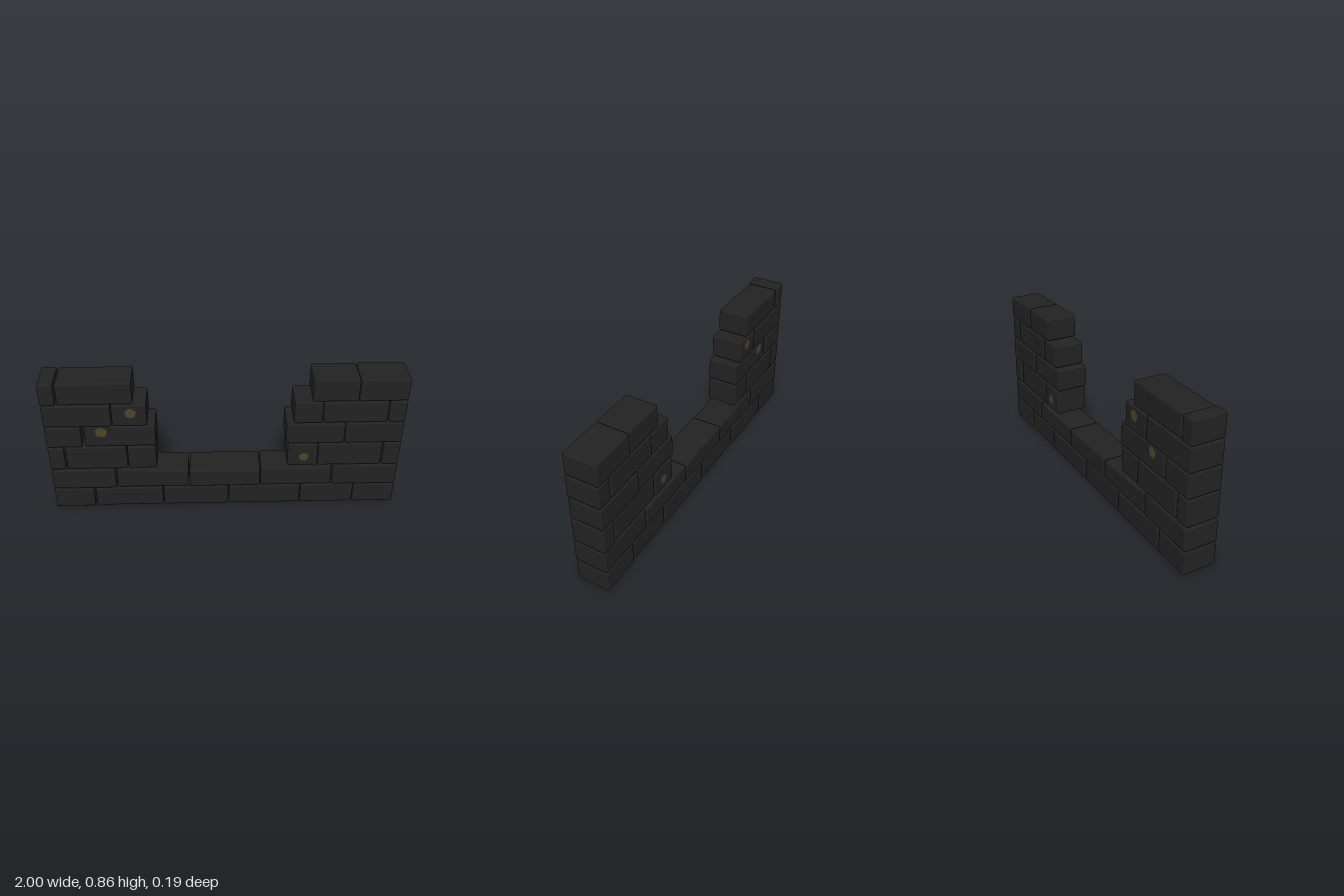
import * as THREE from 'three';
import { RoundedBoxGeometry } from 'three/addons/geometries/RoundedBoxGeometry.js';

const stone = new THREE.MeshStandardMaterial({ color: 0x222222 });
stone.name = 'dark stone';
const moss = new THREE.MeshStandardMaterial({ color: 0x4b442a });
moss.name = 'moss';

// Courses from the ground up: bottom, top, then [left edge, right edge, top drop at left, at right]
const courses = [
  { y0: 0.004, y1: 0.134, bricks: [[-1, -0.772], [-0.762, -0.367, 0, 0.004], [-0.363, 0.018], [0.024, 0.442], [0.447, 0.758], [0.762, 1]] },
  { y0: 0.138, y1: 0.276, bricks: [[-1, -0.635, 0.006, 0], [-0.627, -0.212, 0.012, 0.026], [-0.206, 0.204, 0.024, 0.026], [0.208, 0.62, 0.02, 0.024], [0.629, 1]] },
  { y0: 0.28, y1: 0.434, bricks: [[-1, -0.912], [-0.903, -0.557], [-0.553, -0.392], [0.358, 0.53], [0.534, 0.897], [0.907, 1]] },
  { y0: 0.439, y1: 0.574, bricks: [[-1, -0.802], [-0.783, -0.388], [0.344, 0.672, 0, 0.004], [0.677, 1]] },
  { y0: 0.578, y1: 0.715, bricks: [[-1, -0.627], [-0.622, -0.43], [0.382, 0.54], [0.546, 0.9], [0.907, 1]] },
  { y0: 0.72, y1: 0.855, bricks: [[-1, -0.918], [-0.908, -0.502, 0.004, 0], [0.478, 0.728], [0.732, 1, 0, 0.002]] },
];

// Bevelled block whose top may slope gently from side to side
function makeBrick([x0, x1, dropL = 0, dropR = 0], y0, y1, depth, z) {
  const w = x1 - x0, h = y1 - y0;
  const geo = new RoundedBoxGeometry(w, h, depth, 2, 0.01);
  const p = geo.attributes.position;
  for (let i = 0; i < p.count; i++) {
    const drop = THREE.MathUtils.lerp(dropL, dropR, p.getX(i) / w + 0.5);
    p.setY(i, p.getY(i) - drop * (p.getY(i) / h + 0.5));
  }
  const mesh = new THREE.Mesh(geo, stone);
  mesh.position.set((x0 + x1) / 2, (y0 + y1) / 2, z);
  return mesh;
}

// Small ragged disc
function makePatch(x, y, r, z) {
  const geo = new THREE.CircleGeometry(r, 14);
  const p = geo.attributes.position;
  for (let i = 1; i < p.count; i++) {
    const k = 1 + 0.1 * Math.sin(((i - 1) % 14) * 2.3);
    p.setXY(i, p.getX(i) * k, p.getY(i) * k);
  }
  const mesh = new THREE.Mesh(geo, moss);
  mesh.position.set(x, y, z);
  if (z < 0) mesh.rotation.y = Math.PI;
  return mesh;
}

export function createModel() {
  const wall = new THREE.Group();
  wall.name = 'brokenWall';

  courses.forEach(({ y0, y1, bricks }, row) => {
    const course = new THREE.Group();
    course.name = `course${row + 1}`;
    bricks.forEach((b, i) => {
      // Slight variation of depth so the faces do not line up exactly
      const end = b[0] === -1 || b[1] === 1;
      const depth = end ? 0.193 : 0.184 + 0.004 * ((i + row) % 2);
      const brick = makeBrick(b, y0 - (row === 0 ? 0.004 : 0), y1, depth, -0.001 - 0.002 * (i % 2));
      brick.name = `brick${row + 1}_${i + 1}`;
      course.add(brick);
    });
    wall.add(course);
  });

  // Moss patches on both faces
  const patches = new THREE.Group();
  patches.name = 'mossPatches';
  for (const [x, y, r] of [[-0.517, 0.665, 0.031], [-0.688, 0.54, 0.033], [0.45, 0.346, 0.027]]) {
    for (const z of [0.095, -0.0985]) {
      const patch = makePatch(x, y, r, z);
      patch.name = z > 0 ? 'frontMoss' : 'backMoss';
      patches.add(patch);
    }
  }
  wall.add(patches);
  return wall;
}
